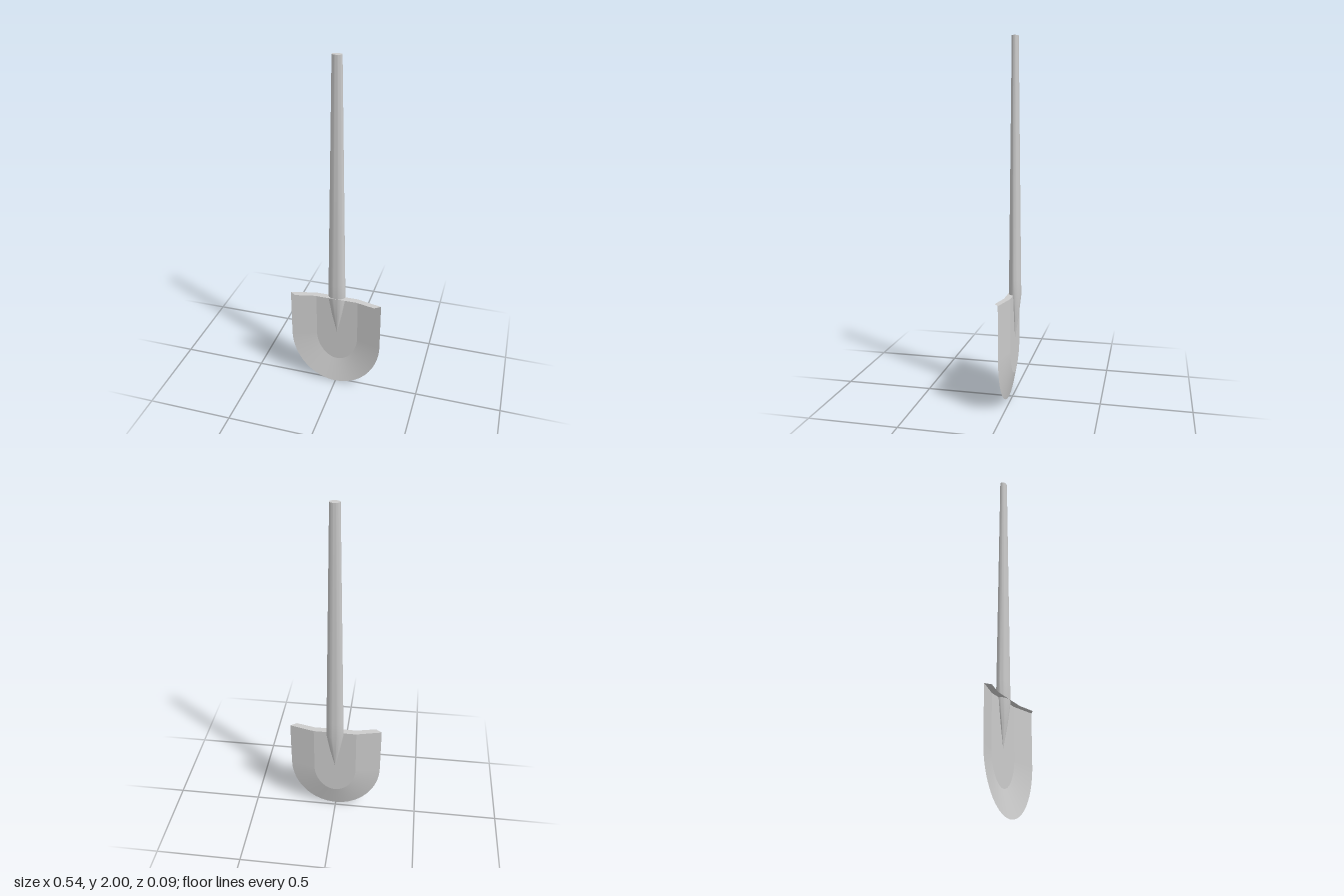
import * as THREE from 'three';
import { toCreasedNormals } from 'three/addons/utils/BufferGeometryUtils.js';

const TOP = 0.61, BEND = 0.32, BACK = -0.015, RIM = 0.02;

// U-shaped outline: straight sides, elliptical tip
function outline(halfWidth, bottom, power, n = 32) {
  const pts = [new THREE.Vector2(-halfWidth, TOP)];
  for (let i = 0; i <= n; i++) {
    const a = Math.PI * i / n;
    pts.push(new THREE.Vector2(
      -halfWidth * Math.cos(a),
      BEND - (BEND - bottom) * Math.pow(Math.max(0, Math.sin(a)), power)));
  }
  pts.push(new THREE.Vector2(halfWidth, TOP));
  return pts;
}

export function createModel() {
  const group = new THREE.Group();
  const solid = new THREE.MeshStandardMaterial({ color: 0xcccccc });
  const sheet = new THREE.MeshStandardMaterial({ color: 0xcccccc, side: THREE.DoubleSide });
  const add = (name, geometry, material) => {
    const mesh = new THREE.Mesh(geometry, material);
    mesh.name = name;
    group.add(mesh);
    return mesh;
  };

  // Oval handle, swelling downward and ending in a pointed socket
  const profile = [[0, 0.35], [0.03, 0.48], [0.051, 0.6], [0.049, 0.7], [0.027, 2], [0, 2]]
    .map(([r, y]) => new THREE.Vector2(r, y));
  const handleShape = new THREE.LatheGeometry(profile, 32);
  handleShape.scale(1, 1, 0.67);
  handleShape.translate(0, 0, BACK);
  add('handle', toCreasedNormals(handleShape, 0.7), solid);

  // Flat middle of the blade
  const inner = outline(0.125, 0.15, 1.1);
  const middle = new THREE.ShapeGeometry(new THREE.Shape(inner));
  middle.translate(0, 0, BACK);
  add('bladeCenter', middle, sheet);

  // Sloping border joining the middle to the forward rim
  const outer = outline(0.27, 0, 1);
  const positions = [], index = [];
  outer.forEach((o, i) => {
    positions.push(o.x, o.y, RIM, inner[i].x, inner[i].y, BACK);
    if (i) {
      const k = 2 * i;
      index.push(k - 2, k, k - 1, k - 1, k, k + 1);
    }
  });
  const border = new THREE.BufferGeometry();
  border.setAttribute('position', new THREE.Float32BufferAttribute(positions, 3));
  border.setIndex(index);
  border.computeVertexNormals();
  add('bladeBorder', border, sheet);

  // Thin foot ledge folded forward along the top edge
  const ledge = new THREE.Shape([
    [-0.27, RIM], [-0.235, 0.045], [-0.125, 0.02], [0.125, 0.02],
    [0.235, 0.045], [0.27, RIM], [0.125, BACK], [-0.125, BACK],
  ].map(([x, z]) => new THREE.Vector2(x, -z)));
  const ledgeShape = new THREE.ShapeGeometry(ledge);
  ledgeShape.rotateX(-Math.PI / 2);
  ledgeShape.translate(0, TOP, 0);
  add('footLedge', ledgeShape, sheet);

  return group;
}
